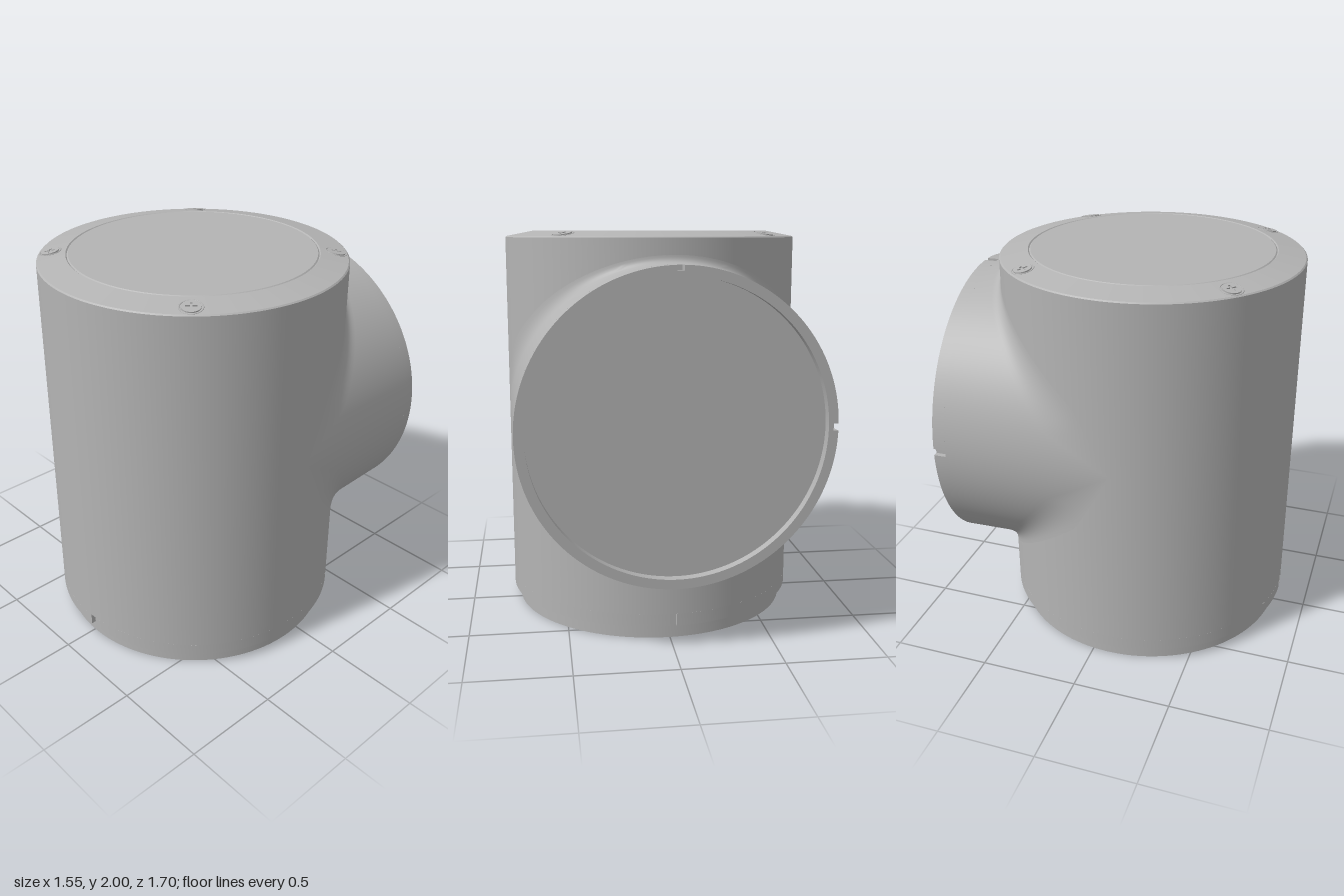
import * as THREE from 'three';
import { toCreasedNormals } from 'three/addons/utils/BufferGeometryUtils.js';

const R = 0.7625;       // radius shared by body and branch
const AXIS_Y = 1.0875;  // height of the branch axis
const END = 0.9125;     // distance from body axis to branch end
const NOTCH = 0.0625;   // length of the alignment notches

const grey = new THREE.MeshStandardMaterial({ color: 0xb4b4b4 });
grey.name = 'grey plastic';

function part(name, geometry) {
  const mesh = new THREE.Mesh(geometry, grey);
  mesh.name = name;
  return mesh;
}

function lathe(points) {
  const profile = points.map(([x, y]) => new THREE.Vector2(x, y));
  return toCreasedNormals(new THREE.LatheGeometry(profile, 128), 0.12);
}

// Flat ring with small slots cut into its outer edge, extruded along z
function notchedRing(inner, angles) {
  const half = 0.0175 / R, floor = 0.738;
  const shape = new THREE.Shape();
  angles.forEach((a, i) => {
    const next = i + 1 < angles.length ? angles[i + 1] : angles[0] + Math.PI * 2;
    const p = (r, t) => [r * Math.cos(t), r * Math.sin(t)];
    if (i === 0) shape.moveTo(...p(R, a + half));
    shape.absarc(0, 0, R, a + half, next - half, false);
    shape.lineTo(...p(floor, next - half));
    shape.lineTo(...p(floor, next + half));
    shape.lineTo(...p(R, next + half));
  });
  shape.holes.push(new THREE.Path().absarc(0, 0, inner, 0, Math.PI * 2, true));
  const geo = new THREE.ExtrudeGeometry(shape, { depth: NOTCH, bevelEnabled: false, curveSegments: 72 });
  return toCreasedNormals(geo, 0.3);
}

// Branch pipe whose far end flows into the body through a variable fillet
function branchGeometry() {
  const N = 192, STEPS = 8, positions = [], index = [];
  const rows = STEPS + 3;
  for (let j = 0; j <= N; j++) {
    const t = (j / N) * Math.PI * 2;
    const s = Math.sin(t), cos = Math.cos(t);
    const c = Math.abs(cos) < 1e-6 ? 0 : Math.abs(cos);
    const d = Math.min(0.6 * c, 0.18 - 0.14 * c);
    const start = -(END - NOTCH);
    positions.push(0.72 * s, 0.72 * cos, start, R * s, R * cos, start);
    for (let k = 0; k <= STEPS; k++) {
      const u = k / STEPS;
      positions.push(R * s, R * cos + Math.sign(cos) * d * u * u, -R * c - d * (1 - u) * (1 - u));
    }
  }
  for (let j = 0; j < N; j++) {
    for (let i = 0; i < rows - 1; i++) {
      const a = j * rows + i, b = a + rows;
      index.push(a, a + 1, b, b, a + 1, b + 1);
    }
  }
  const geo = new THREE.BufferGeometry();
  geo.setAttribute('position', new THREE.Float32BufferAttribute(positions, 3));
  geo.setIndex(index);
  return toCreasedNormals(geo, 0.5);
}

// Screw head with a cross-shaped recess, inside a thin countersink ring
function screw() {
  const group = new THREE.Group();
  group.name = 'screw';
  const head = new THREE.Shape().absarc(0, 0, 0.045, 0, Math.PI * 2, false);
  const a = 0.006, b = 0.026;
  const cross = [[a, a], [a, b], [-a, b], [-a, a], [-b, a], [-b, -a],
    [-a, -a], [-a, -b], [a, -b], [a, -a], [b, -a], [b, a]];
  head.holes.push(new THREE.Path(cross.map(([x, y]) => new THREE.Vector2(x, y))));
  const headGeo = new THREE.ExtrudeGeometry(head, { depth: 0.006, bevelEnabled: false, curveSegments: 32 });
  const ring = new THREE.TorusGeometry(0.053, 0.003, 6, 40);
  group.add(part('screwHead', headGeo.rotateX(-Math.PI / 2)));
  group.add(part('countersinkRing', ring.rotateX(-Math.PI / 2)));
  return group;
}

export function createModel() {
  const model = new THREE.Group();
  model.name = 'pipeElbow';
  const body = new THREE.Group();
  body.name = 'fitting';
  body.position.set(0.0125, 0, 0.0875);
  body.rotation.y = 0.033;
  model.add(body);

  // Upright housing with bevelled lid and a fine groove round the lid disc
  body.add(part('housing', lathe([
    [0.7, 0.0725 + NOTCH], [R, 0.0725 + NOTCH], [R, 1.967], [0.756, 1.973],
    [0.62, 2], [0.614, 1.995], [0.608, 2], [0, 2],
  ])));

  // Stepped foot and notched skirt above it
  body.add(part('foot', lathe([[0, 0], [0.73, 0], [0.73, 0.12]])));
  const skirt = part('notchedSkirt', notchedRing(0.72, [-Math.PI / 2, Math.PI / 2]).rotateX(-Math.PI / 2));
  skirt.position.y = 0.0725;
  body.add(skirt);

  // Rear branch: pipe, notched rim and recessed closing disc
  const branch = new THREE.Group();
  branch.name = 'rearBranch';
  branch.position.y = AXIS_Y;
  branch.add(part('branchPipe', branchGeometry()));
  const rim = part('notchedRim', notchedRing(0.715, [0, Math.PI / 2]).rotateY(Math.PI));
  rim.position.z = -(END - NOTCH);
  branch.add(rim);
  const disc = part('recessedDisc', new THREE.CircleGeometry(0.72, 96).rotateY(Math.PI));
  disc.position.z = -0.865;
  branch.add(disc);
  body.add(branch);

  // Four screws on the sloping lid edge
  for (let i = 0; i < 4; i++) {
    const arm = new THREE.Group();
    arm.name = 'screwPosition';
    arm.rotation.y = Math.PI / 4 + i * Math.PI / 2;
    const s = screw();
    s.position.set(0, 1.984, 0.7);
    s.rotation.x = 0.2;
    arm.add(s);
    body.add(arm);
  }
  return model;
}
